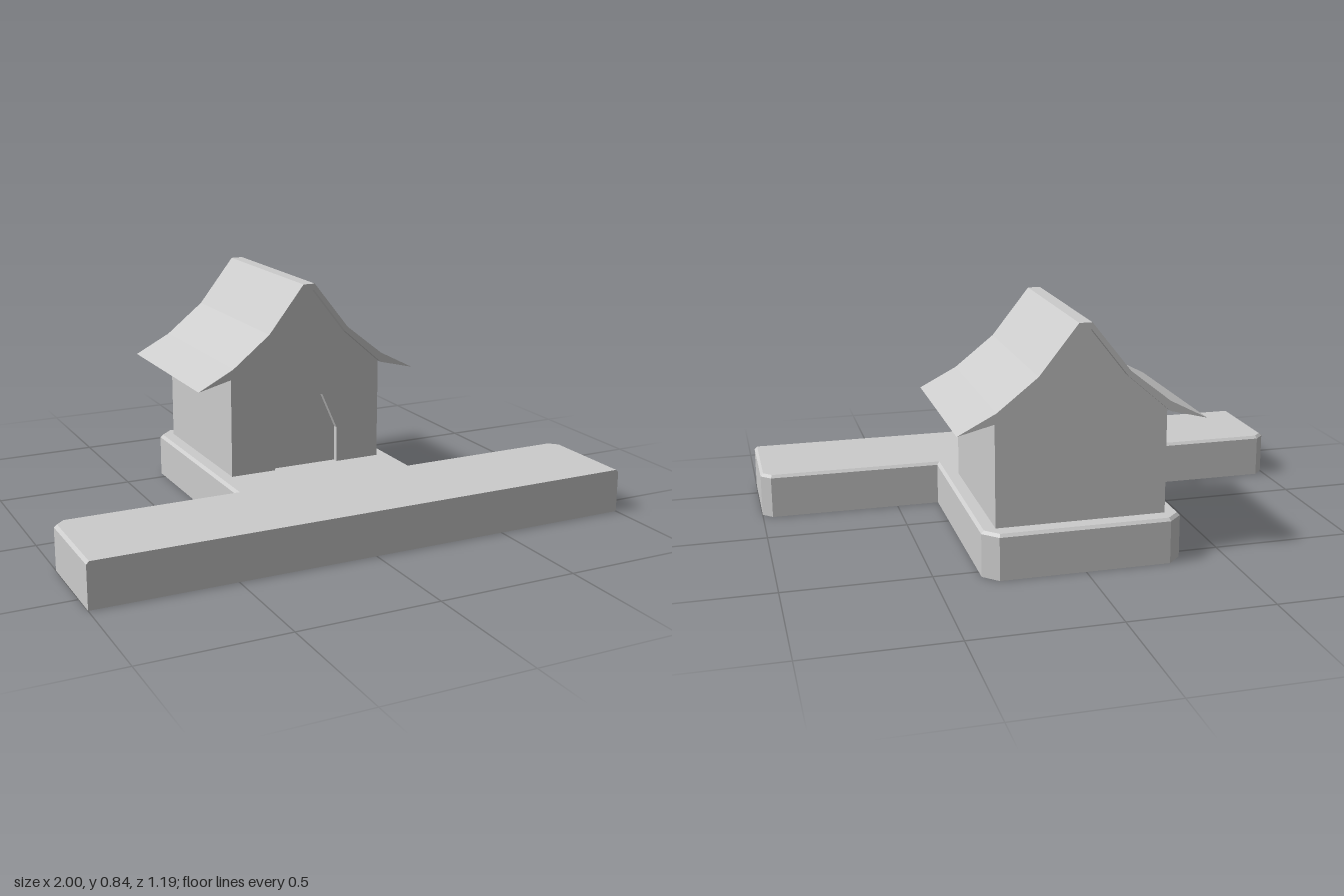
import * as THREE from 'three';

const material = new THREE.MeshStandardMaterial({ color: 0xcccccc });

function shapeOf(points) {
  return new THREE.Shape(points.map(([x, y]) => new THREE.Vector2(x, y)));
}

// Completes a right-hand half outline with its mirror image.
function mirrored(half) {
  return [...half, ...half.map(([x, y]) => [-x, y]).reverse()];
}

// Straight extrusion of a front outline between two depths.
function slab(points, back, front) {
  const geometry = new THREE.ExtrudeGeometry(shapeOf(points), { depth: front - back, bevelEnabled: false });
  return geometry.translate(0, 0, back);
}

function addMesh(group, name, geometry) {
  const mesh = new THREE.Mesh(geometry, material);
  mesh.name = name;
  group.add(mesh);
}

// T-shaped slab with cut corners; its top edge is bevelled except along the front.
function baseGeometry() {
  const bevel = 0.01, height = 0.16, front = 0.594;
  const outline = mirrored([
    [1, -front], [1, -0.245], [0.965, -0.21], [0.345, -0.21],
    [0.345, 0.544], [0.295, 0.594],
  ]);
  const geometry = new THREE.ExtrudeGeometry(shapeOf(outline), {
    depth: height - bevel, bevelEnabled: true, bevelSegments: 1,
    bevelSize: bevel, bevelThickness: bevel, bevelOffset: -bevel,
  });
  geometry.rotateX(-Math.PI / 2);
  const p = geometry.attributes.position;
  for (let i = 0; i < p.count; i++) {
    p.setY(i, Math.max(0, p.getY(i)));
    if (p.getZ(i) > front - 0.02) p.setZ(i, front);
  }
  geometry.computeVertexNormals();
  return geometry;
}

export function createModel() {
  const model = new THREE.Group();
  const floor = 0.16;

  addMesh(model, 'base', baseGeometry());

  // House body: walls and gables follow the curved underside of the roof.
  const gable = [[0.294, floor], [0.294, 0.525], [0.147, 0.653], [0.02, 0.815]];
  addMesh(model, 'houseBody', slab(mirrored(gable), -0.532, 0.037));

  // Front wall with the doorway cut through it, leaving a shallow recess.
  const doorway = [[0.065, 0.425], [0.125, 0.29], [0.125, floor]];
  addMesh(model, 'frontWall', slab(mirrored([...doorway, ...gable]), 0.037, 0.057));

  // Sweeping roof, thin at the eaves.
  const outer = [[0.425, 0.492], [0.294, 0.56], [0.155, 0.67], [0.022, 0.838]];
  const inner = [[0.02, 0.815], [0.147, 0.653], [0.294, 0.525]];
  addMesh(model, 'roof', slab(mirrored([...inner, ...outer]), -0.562, 0.08));

  return model;
}
